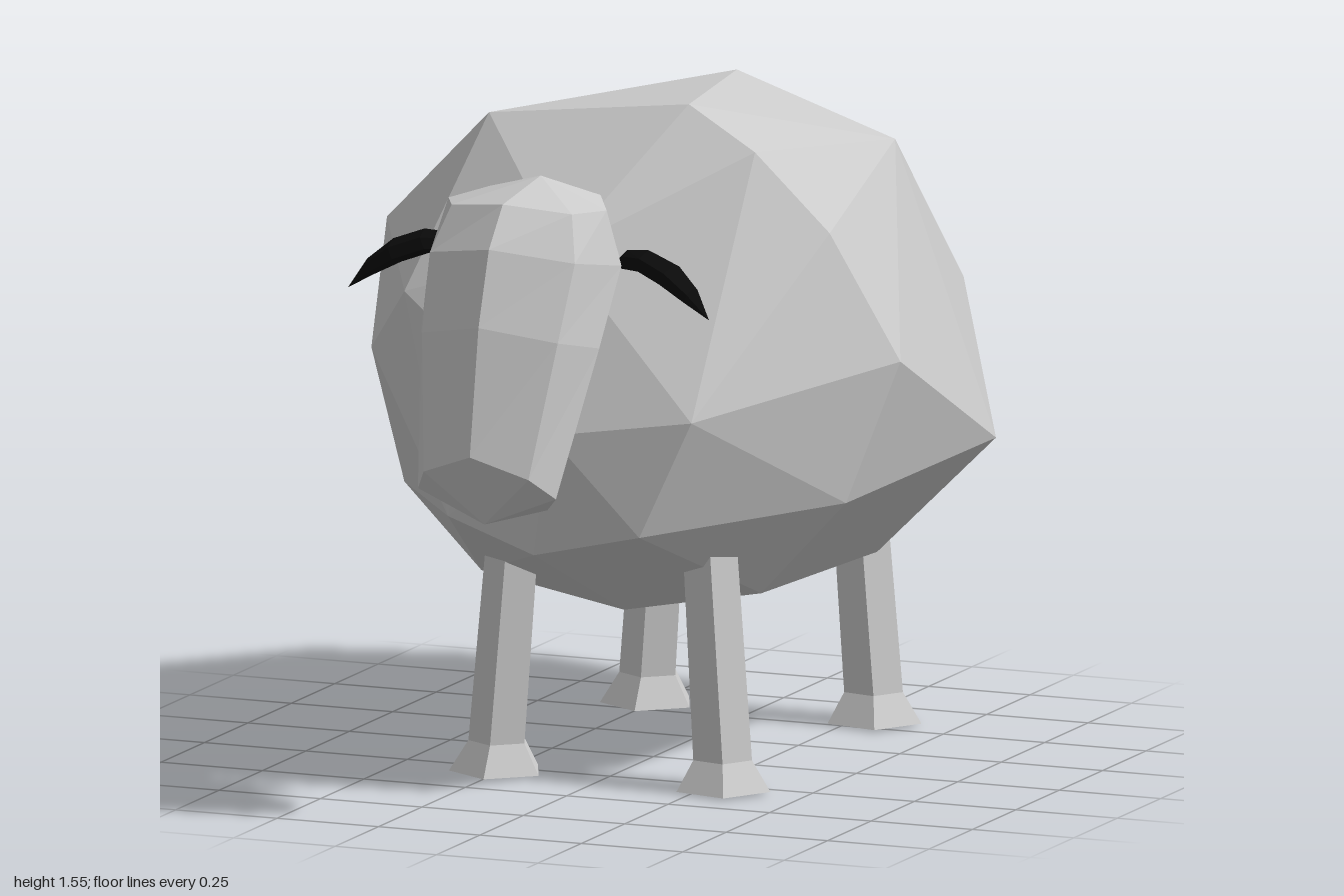
import * as THREE from 'three';
import { ConvexGeometry } from 'three/addons/geometries/ConvexGeometry.js';

const wool = new THREE.MeshStandardMaterial({ color: 0xcccccc, flatShading: true });
const dark = new THREE.MeshStandardMaterial({ color: 0x0a0a0a, flatShading: true });

// Skin a list of rings; each end closes as a fan to its own point.
function loft(name, rings, start, end, material = wool) {
  const pos = [];
  const tri = (...corners) => corners.forEach((p) => pos.push(...p));
  const n = rings[0].length;
  const last = rings[rings.length - 1];
  for (let j = 0; j < n; j++) {
    const k = (j + 1) % n;
    tri(start, rings[0][k], rings[0][j]);
    for (let i = 0; i + 1 < rings.length; i++) {
      const a = rings[i], b = rings[i + 1];
      tri(a[j], a[k], b[k]);
      tri(a[j], b[k], b[j]);
    }
    tri(last[j], last[k], end);
  }
  const geometry = new THREE.BufferGeometry();
  geometry.setAttribute('position', new THREE.Float32BufferAttribute(pos, 3));
  geometry.computeVertexNormals();
  const mesh = new THREE.Mesh(geometry, material);
  mesh.name = name;
  return mesh;
}

// Points of a regular polygon as [sin, cos] pairs.
const polygon = (n, phase = 0) => Array.from({ length: n }, (_, i) => {
  const a = phase + (i / n) * Math.PI * 2;
  return [Math.sin(a), Math.cos(a)];
});

// Fleece: a faceted hull over four uneven cross-sections.
function makeBody() {
  const chest = [
    [-0.03, 1.25, 0.47], [-0.2, 1, 0.57], [0, 0.85, 0.6], [0.32, 0.89, 0.53],
    [0.2, 0.62, 0.55], [-0.06, 0.56, 0.55], [-0.28, 0.63, 0.53],
    [-0.58, 0.95, 0.27], [-0.43, 1.12, 0.43],
  ];
  const shoulders = [
    [0, 1.52, 0.19], [0.16, 1.55, 0.17], [0.34, 1.46, 0.21], [0.49, 1.27, 0.13],
    [0.63, 0.97, 0.05], [0.53, 0.65, 0.13], [0.33, 0.43, 0.15], [0, 0.37, 0.17],
    [-0.36, 0.43, 0.15], [-0.55, 0.62, 0.15], [-0.61, 1.22, 0.11], [-0.32, 1.5, 0.2],
  ];
  const mirrored = (points) => points.flatMap(([x, y, z]) => [[x, y, z], [-x, y, z]]);
  const hips = [[0, 1.5, -0.48], [0, 0.33, -0.42],
    ...mirrored([[0.39, 1.37, -0.48], [0.63, 0.695, -0.5], [0.38, 0.43, -0.4]])];
  const rump = [[0, 1.25, -0.88], [0, 0.44, -0.79], [0, 0.83, -1],
    ...mirrored([[0.39, 0.98, -0.875], [0.39, 0.72, -0.84]])];
  const points = [...chest, ...shoulders, ...hips, ...rump]
    .map((p) => new THREE.Vector3(...p));
  const body = new THREE.Mesh(new ConvexGeometry(points), wool);
  body.name = 'body';
  return body;
}

// Head: long wedge with a ridge down the face, built from chin to crown.
function makeHead() {
  const half = [[0.76, 0.8], [1, 0.45], [0.7, 0.06]];
  const section = [
    [0, 1], ...half, [0, 0],
    ...half.map(([x, t]) => [-x, t]).reverse(),
  ];
  const cx = -0.025;
  // half width, front y, front z, back y, back z
  const rings = [
    [0.17, 0.87, 1.0, 0.74, 0.82],
    [0.22, 1.16, 0.95, 1.1, 0.62],
    [0.235, 1.33, 0.89, 1.28, 0.5],
    [0.195, 1.42, 0.81, 1.43, 0.55],
  ].map(([w, fy, fz, by, bz]) => section.map(([x, t]) =>
    [cx + x * w, by + (fy - by) * t - 0.03 * Math.abs(x), bz + (fz - bz) * t]));
  return loft('head', rings, [cx, 0.7, 0.915], [0, 1.46, 0.65]);
}

// Neck: short stub between head and fleece.
function makeNeck() {
  const rings = [[0.6, 1.22, 0.1], [0.47, 1.21, 0.095]].map(([z, y, r]) =>
    polygon(6).map(([s, c]) => [s * r * 0.8, y + c * r, z]));
  return loft('neck', rings, [0, 1.22, 0.62], [0, 1.2, 0.44]);
}

// Ear: flat leaf that droops outwards to a point.
function makeEar(name) {
  // x, y, z, half thickness, half width
  const rings = [
    [0.19, 1.275, 0.615, 0.022, 0.025],
    [0.25, 1.28, 0.64, 0.026, 0.047],
    [0.32, 1.255, 0.657, 0.026, 0.053],
    [0.38, 1.215, 0.675, 0.018, 0.037],
  ].map(([x, y, z, h, w]) =>
    polygon(6).map(([s, c]) => [x + c * h * 0.4, y + c * h, z + s * w]));
  return loft(name, rings, [0.17, 1.27, 0.61], [0.43, 1.165, 0.685], dark);
}

// Leg: five-sided shaft that leans out to a flared hoof.
function makeLeg(name, topX, footX, z, lean, phase) {
  // y, radius, blend from foot to top
  const rings = [[0.005, 0.112, 0], [0.075, 0.07, 0.05], [0.62, 0.064, 1]].map(([y, r, t]) =>
    polygon(5, phase).map(([s, c]) =>
      [footX + (topX - footX) * t + s * r, y, z - lean * t + c * r]));
  return loft(name, rings, [footX, 0, z], [topX, 0.62, z - lean]);
}

export function createModel() {
  const model = new THREE.Group();
  model.name = 'sheep';
  model.add(makeBody(), makeHead(), makeNeck());

  const leftEar = makeEar('leftEar');
  const rightEar = makeEar('rightEar');
  rightEar.scale.x = -1;
  rightEar.position.set(-0.035, 0.005, -0.012);
  model.add(leftEar, rightEar);

  for (const [end, z, lean] of [['front', 0.31, 0.03], ['back', -0.56, 0.01]]) {
    model.add(makeLeg(end + 'LeftLeg', 0.255, 0.305, z, lean, 0.4));
    model.add(makeLeg(end + 'RightLeg', -0.215, -0.25, z, lean, 0.1));
  }
  return model;
}
